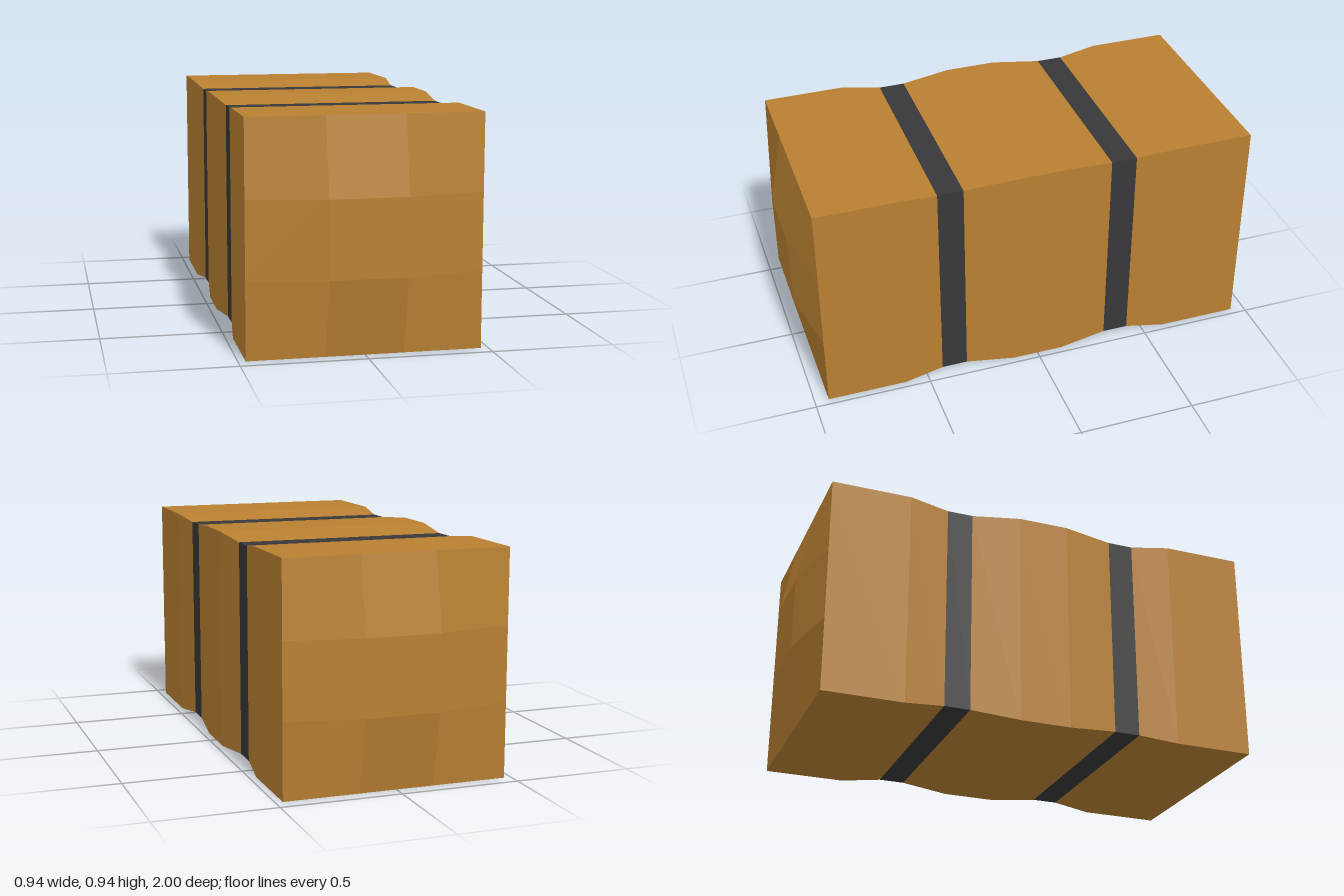
import * as THREE from 'three';

// Faceted surface from quads (corners counter-clockwise, split from corner 0 to corner 2),
// with one averaged normal per quad.
function quadMesh(name, quads, material) {
  const pos = [], nor = [];
  for (const [a, b, c, d] of quads) {
    const n = c.clone().sub(a).cross(d.clone().sub(b)).normalize();
    for (const p of [a, b, c, a, c, d]) {
      pos.push(p.x, p.y, p.z);
      nor.push(n.x, n.y, n.z);
    }
  }
  const geo = new THREE.BufferGeometry();
  geo.setAttribute('position', new THREE.Float32BufferAttribute(pos, 3));
  geo.setAttribute('normal', new THREE.Float32BufferAttribute(nor, 3));
  const mesh = new THREE.Mesh(geo, material);
  mesh.name = name;
  return mesh;
}

const H = 0.47, MID = H;

// Square cross-section, counter-clockwise seen from the front
const ring = ([z, h]) => [[-1, -1], [1, -1], [1, 1], [-1, 1]]
  .map(([x, y]) => new THREE.Vector3(x * h, MID + y * h, z));

// Four side walls through a run of [z, half size] sections
function walls(sections) {
  const quads = [];
  for (let i = 0; i + 1 < sections.length; i++) {
    const back = ring(sections[i]), front = ring(sections[i + 1]);
    for (let k = 0; k < 4; k++) {
      const n = (k + 1) % 4;
      quads.push([back[k], back[n], front[n], front[k]]);
    }
  }
  return quads;
}

// Bulging 3 x 3 panel closing one end
function endPanel(side) {
  const s = [-H, -H / 3, H / 3, H], quads = [];
  const pt = (i, j) => {
    const inner = i % 3 !== 0 && j % 3 !== 0;
    return new THREE.Vector3(s[i] * side, MID + s[j], side * (inner ? 1 : 0.94));
  };
  for (let i = 0; i < 3; i++) for (let j = 0; j < 3; j++) {
    const q = [pt(i, j), pt(i + 1, j), pt(i + 1, j + 1), pt(i, j + 1)];
    // corner cells split from the outer corner to the bulge
    if ((i === 0 && j === 2) || (i === 2 && j === 0)) q.push(q.shift());
    quads.push(q);
  }
  return quads;
}

export function createModel() {
  const group = new THREE.Group();
  group.name = 'strappedBale';
  const bodyMat = new THREE.MeshStandardMaterial({ color: 0xb98032 });
  const strapMat = new THREE.MeshStandardMaterial({ color: 0x38383a });
  const pinch = 0.45;

  // Body, pinched in where the straps run
  group.add(quadMesh('middleBody',
    walls([[-0.32, pinch], [-0.11, H], [0.11, H], [0.32, pinch]]), bodyMat));
  group.add(quadMesh('frontBody', walls([[0.43, pinch], [0.6, H], [0.94, H]]), bodyMat));
  group.add(quadMesh('backBody', walls([[-0.94, H], [-0.6, H], [-0.43, pinch]]), bodyMat));

  // Bulging ends
  group.add(quadMesh('frontEnd', endPanel(1), bodyMat));
  group.add(quadMesh('backEnd', endPanel(-1), bodyMat));

  // Dark straps
  group.add(quadMesh('frontStrap', walls([[0.32, pinch], [0.43, pinch]]), strapMat));
  group.add(quadMesh('backStrap', walls([[-0.43, pinch], [-0.32, pinch]]), strapMat));
  return group;
}
